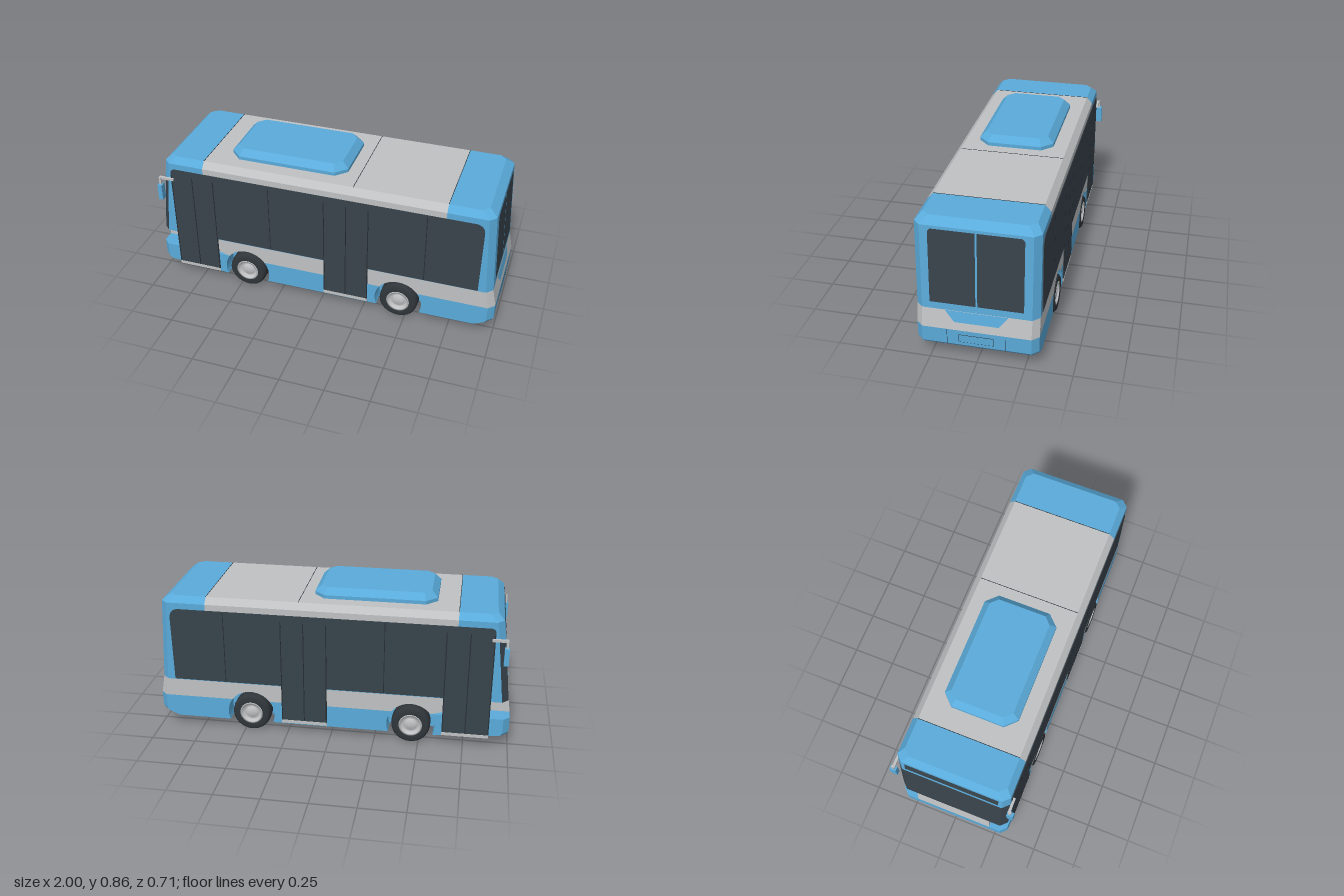
import * as THREE from 'three';

const mat = (name, color, extra = {}) => Object.assign(new THREE.MeshStandardMaterial({ color, ...extra }), { name });
const blue = mat('blue paint', 0x5aabdb);
const grey = mat('light grey paint', 0xbfc1c3);
const glass = mat('dark glass', 0x38434b, { side: THREE.DoubleSide });
const trim = mat('dark trim', 0x262d33);
const rubber = mat('tyre rubber', 0x30363b);

const HZ = 0.32, IN = 0.035, WY = 0.11, ARCH = 0.135, WAIST = 0.19, TOP = 0.295;
const AXLES = [-0.455, 0.46];
const DOORS = [[-0.89, -0.63], [0.02, 0.28]];
// End outlines as [y, x]; the bus drives towards -x
const FRONT = [[0.06, -0.94], [0.085, -0.985], [0.1, -1], [0.19, -1], [0.295, -0.985], [0.66, -0.945], [0.765, -0.93], [0.8, -0.895]];
const BACK = [[0.06, 0.93], [0.085, 0.985], [0.1, 0.998], [0.19, 1], [0.295, 0.98], [0.765, 0.955], [0.8, 0.91]];

function endX(knots, y) {
  let i = 0;
  while (i < knots.length - 2 && y > knots[i + 1][0]) i++;
  const [a, b] = [knots[i], knots[i + 1]];
  return a[1] + (b[1] - a[1]) * (y - a[0]) / (b[0] - a[0]);
}

export function createModel() {
  const bus = new THREE.Group();
  bus.name = 'bus';
  const add = (name, geo, material, x = 0, y = 0, z = 0) => {
    const m = new THREE.Mesh(geo, material);
    m.name = name;
    m.position.set(x, y, z);
    bus.add(m);
    return m;
  };
  const box = (name, material, w, h, d, x, y, z) => add(name, new THREE.BoxGeometry(w, h, d), material, x, y, z);
  const poly = (pts) => new THREE.Shape(pts.map(([x, y]) => new THREE.Vector2(x, y)));
  const extrude = (shape, depth, steps = 1) =>
    new THREE.ExtrudeGeometry(shape, { depth, steps, bevelEnabled: false, curveSegments: 12 });

  // Upper body: cross-sections along x, faces sorted by colour
  const rows = [[HZ, TOP], [HZ, 0.655], [HZ, 0.73], [HZ, 0.765], [HZ - 0.032, 0.8]];
  const ring = [...rows, ...rows.map(([z, y]) => [-z, y]).reverse()];
  const section = (xOf, inset) => ring.map(([z, y]) => new THREE.Vector3(xOf(y), y, z - Math.sign(z) * inset));
  const sections = [
    section((y) => endX(FRONT, y), IN), section((y) => endX(FRONT, y) + IN, 0),
    section(() => -0.69, 0), section(() => 0.7, 0),
    section((y) => endX(BACK, y) - IN, 0), section((y) => endX(BACK, y), IN),
  ];
  const faces = new Map([[blue, []], [grey, []], [glass, []]]);
  const middle = new THREE.Vector3(0, 0.5, 0);
  const quad = (material, a, b, c, d) => {
    const n = b.clone().sub(a).cross(c.clone().sub(a));
    const out = a.clone().add(c).multiplyScalar(0.5).sub(middle);
    const order = n.dot(out) > 0 ? [a, b, c, a, c, d] : [a, c, b, a, d, c];
    order.forEach((p) => faces.get(material).push(p.x, p.y, p.z));
  };
  for (let i = 0; i < sections.length - 1; i++) {
    for (let j = 0; j < ring.length - 1; j++) {
      const s = sections[i], t = sections[i + 1];
      let m = blue;
      if (i === 2 && j >= 2 && j <= 6) m = grey;
      if (i === 0 && (j === 0 || j === 8)) m = glass;
      quad(m, s[j], t[j], t[j + 1], s[j + 1]);
    }
  }
  for (const s of [sections[0], sections[5]]) {
    for (let j = 0; j < 4; j++) {
      quad(s === sections[0] && j === 0 ? glass : blue, s[j], s[9 - j], s[8 - j], s[j + 1]);
    }
  }
  const shellNames = new Map([[blue, 'upperBody'], [grey, 'roofPanel'], [glass, 'windshield']]);
  for (const [m, data] of faces) {
    const g = new THREE.BufferGeometry();
    g.setAttribute('position', new THREE.Float32BufferAttribute(data, 3));
    g.computeVertexNormals();
    add(shellNames.get(m), g, m);
  }

  // Lower body: full-length core and side panels cut by the wheel arches
  const lowBack = BACK.slice(0, 4).map(([y, x]) => [x, y]);
  const lowFront = FRONT.slice(0, 4).map(([y, x]) => [x, y]).reverse();
  const beltEnds = [[0.98, TOP], [-0.985, TOP]];
  add('floor', extrude(poly([...lowBack, ...lowFront]), 0.44), blue, 0, 0, -0.22);
  add('beltCore', extrude(poly([[-1, WAIST], [1, WAIST], ...beltEnds]), 0.44), grey, 0, 0, -0.22);

  const up = Math.asin((WAIST - WY) / ARCH), down = Math.asin((WY - 0.06) / ARCH);
  const leftOfWheel = (s, x) => s.absarc(x, WY, ARCH, Math.PI + down, Math.PI - up, true);
  const rightOfWheel = (s, x) => s.absarc(x, WY, ARCH, up, -down, true);
  const frontSkirt = new THREE.Shape();
  frontSkirt.moveTo(-0.94, 0.06);
  leftOfWheel(frontSkirt, AXLES[0]);
  lowFront.slice(0, 3).forEach(([x, y]) => frontSkirt.lineTo(x, y));
  const midSkirt = new THREE.Shape();
  rightOfWheel(midSkirt, AXLES[0]);
  leftOfWheel(midSkirt, AXLES[1]);
  const rearSkirt = new THREE.Shape();
  rightOfWheel(rearSkirt, AXLES[1]);
  lowBack.forEach(([x, y]) => rearSkirt.lineTo(x, y));
  const belt = new THREE.Shape();
  belt.moveTo(-1, WAIST);
  AXLES.forEach((x) => belt.absarc(x, WY, ARCH, Math.PI - up, up, true));
  [[1, WAIST], ...beltEnds].forEach(([x, y]) => belt.lineTo(x, y));

  const sidePanel = (name, shape, material, side) => {
    const g = extrude(shape, 0.1, 2);
    g.translate(0, 0, side > 0 ? 0.22 : -HZ);
    const p = g.attributes.position;
    for (let i = 0; i < p.count; i++) {
      const x = p.getX(i), z = Math.abs(p.getZ(i));
      if (z > 0.31 && Math.abs(x) > 0.9) p.setX(i, x - Math.sign(x) * IN);
      else if (z > 0.25 && z < 0.3) p.setZ(i, side * (HZ - IN));
    }
    g.computeVertexNormals();
    add(name, g, material);
  };

  // Side glazing including both doors
  const glazing = new THREE.Shape();
  glazing.moveTo(-0.89, 0.085);
  [[-0.63, 0.085], [-0.63, 0.3], [0.02, 0.3], [0.02, 0.085], [0.28, 0.085], [0.28, 0.3], [0.9, 0.3], [0.905, 0.68]]
    .forEach(([x, y]) => glazing.lineTo(x, y));
  glazing.quadraticCurveTo(0.9, 0.73, 0.85, 0.73);
  glazing.lineTo(-0.86, 0.73);
  glazing.quadraticCurveTo(-0.89, 0.73, -0.89, 0.7);

  // Wheel profile: radius, then distance along the axle
  const tyre = [[0.062, -0.05], [0.095, -0.05], [0.107, -0.038], [0.11, -0.02], [0.11, 0.02], [0.107, 0.038], [0.095, 0.05], [0.062, 0.046]];
  const hub = [[0, 0.042], [0.028, 0.042], [0.032, 0.03], [0.05, 0.03], [0.056, 0.048], [0.066, 0.048], [0.066, 0.03]];
  const lathe = (pts) => new THREE.LatheGeometry(pts.map(([r, h]) => new THREE.Vector2(r, h)).reverse(), 32);
  rubber.side = THREE.DoubleSide;
  grey.side = THREE.DoubleSide;

  for (const side of [1, -1]) {
    sidePanel('frontSkirt', frontSkirt, blue, side);
    sidePanel('middleSkirt', midSkirt, blue, side);
    sidePanel('rearSkirt', rearSkirt, blue, side);
    sidePanel('sideBelt', belt, grey, side);
    add('sideGlazing', extrude(glazing, 0.006), glass, 0, 0, side > 0 ? 0.318 : -0.324);
    for (const [a, b] of DOORS) {
      box('doorSill', grey, b - a, 0.018, 0.012, (a + b) / 2, 0.075, side * 0.319);
      for (const x of [a + 0.003, (a + b) / 2, b - 0.003]) box('doorSeam', trim, 0.005, 0.6, 0.003, x, 0.39, side * 0.324);
    }
    for (const x of [-0.3, 0.6]) box('windowSeam', trim, 0.004, 0.42, 0.002, x, 0.515, side * 0.324);
    for (const x of AXLES) {
      for (const [name, pts, m] of [['tyre', tyre, rubber], ['wheelHub', hub, grey]]) {
        add(name, lathe(pts), m, x, WY, side * 0.274).rotation.x = side * Math.PI / 2;
      }
    }
    // Mirror on a bent arm
    box('mirror', blue, 0.026, 0.095, 0.036, -0.953, 0.58, side * 0.337);
    box('mirrorArm', grey, 0.085, 0.014, 0.014, -0.915, 0.667, side * 0.33);
    box('mirrorRod', grey, 0.012, 0.05, 0.014, -0.953, 0.648, side * 0.335);
  }

  // Thin plates that follow the slope of an end wall
  const endPlate = (name, pts, material, knots, lift = 0.003) => {
    const dir = knots === BACK ? 1 : -1;
    const g = new THREE.ShapeGeometry(poly(pts));
    const p = g.attributes.position;
    for (let i = 0; i < p.count; i++) {
      const u = p.getX(i), y = p.getY(i);
      p.setXYZ(i, endX(knots, y) + dir * lift, y, -dir * u);
    }
    g.computeVertexNormals();
    add(name, g, material);
  };
  const rect = (a, b, c, d) => [[a, c], [b, c], [b, d], [a, d]];
  for (const s of [-1, 1]) {
    const pane = [[0.005, 0.335], [0.243, 0.335], [0.243, 0.735], [0.23, 0.75], [0.005, 0.75]].map(([u, y]) => [s * u, y]);
    endPlate('rearWindow', pane, glass, BACK);
    endPlate('bumperSeam', rect(s * 0.153 - 0.001, s * 0.153 + 0.001, 0.1, 0.19), trim, BACK);
  }
  endPlate('rearPanel', [[-0.115, 0.235], [0.115, 0.235], [0.165, 0.295], [-0.165, 0.295]], blue, BACK);
  endPlate('plateFrame', rect(-0.092, 0.092, 0.12, 0.167), trim, BACK);
  endPlate('platePanel', rect(-0.09, 0.09, 0.122, 0.165), blue, BACK, 0.004);
  endPlate('destinationSign', rect(-0.265, 0.265, 0.69, 0.755), glass, FRONT);

  // Roof unit with chamfered edges, and roof seams
  const podShape = poly([[-0.495, -0.175], [0.035, -0.175], [0.075, -0.135], [0.075, 0.135], [0.035, 0.175], [-0.495, 0.175], [-0.535, 0.135], [-0.535, -0.135]]);
  const pod = new THREE.ExtrudeGeometry(podShape, { depth: 0.04, bevelSize: 0.035, bevelThickness: 0.035, bevelSegments: 1 });
  pod.rotateX(-Math.PI / 2);
  add('roofUnit', pod, blue, 0, 0.78, 0);
  for (const x of [-0.69, 0.18, 0.7]) box('roofSeam', trim, 0.003, 0.002, 0.576, x, 0.8, 0);
  return bus;
}
